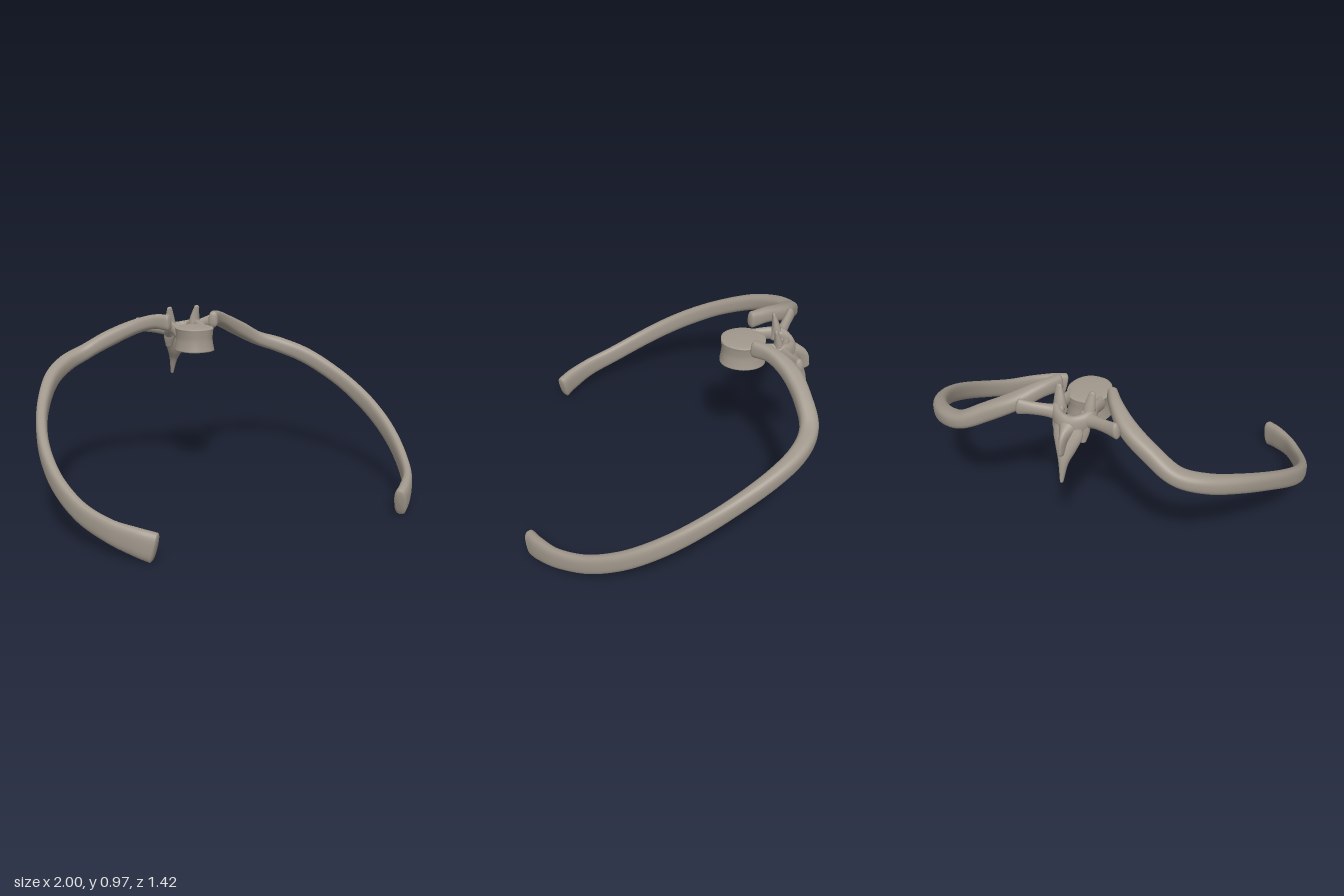
import * as THREE from 'three';

const bone = new THREE.MeshStandardMaterial({ color: 0xa1988c });
bone.name = 'bone';

const spow = (v, e) => Math.sign(v) * Math.pow(Math.abs(v), e);
const oval = a => [Math.cos(a), Math.sin(a)];
const boxy = a => [spow(Math.cos(a), 0.75), spow(Math.sin(a), 0.75)];
// rounded front, squarer and broader back
const heart = a => {
  const v = spow(Math.sin(a), 0.85);
  return [spow(Math.cos(a), 0.8) * (v > 0 ? 1 - 0.12 * v : 1 + 0.08 * v), v];
};

// Sweeps a cross-section through stations [x, y, z, half width, half height];
// the height axis follows the up hint, both ends close with a rounded cap.
function sweep(name, stations, { up = [0, 1, 0], profile = oval, cap = 0.015, steps = 8, sides = 28 } = {}) {
  const path = new THREE.CatmullRomCurve3(stations.map(s => new THREE.Vector3(s[0], s[1], s[2])), false, 'catmullrom');
  const size = new THREE.CatmullRomCurve3(stations.map(s => new THREE.Vector3(s[3], s[4], 0)), false, 'catmullrom');
  const hint = new THREE.Vector3(...up);
  const n = (stations.length - 1) * steps;
  const capRings = [[0, 1], [0.3, 0.96], [0.65, 0.83], [0.9, 0.55], [1, 0]];
  const rings = [];
  for (const [o, s] of [...capRings].reverse()) rings.push([0, -o, s]);
  for (let i = 1; i < n; i++) rings.push([i / n, 0, 1]);
  for (const [o, s] of capRings) rings.push([1, o, s]);

  const pos = [], idx = [];
  for (const [t, offset, scale] of rings) {
    const T = path.getTangent(t);
    const S = new THREE.Vector3().crossVectors(T, hint).normalize();
    const U = new THREE.Vector3().crossVectors(S, T);
    const c = path.getPoint(t).addScaledVector(T, offset * cap);
    const d = size.getPoint(t);
    for (let j = 0; j < sides; j++) {
      const [u, v] = profile((j / sides) * Math.PI * 2);
      const p = c.clone().addScaledVector(S, u * d.x * scale).addScaledVector(U, v * d.y * scale);
      pos.push(p.x, p.y, p.z);
    }
  }
  for (let i = 0; i < rings.length - 1; i++) {
    for (let j = 0; j < sides; j++) {
      const k = (j + 1) % sides;
      const a = i * sides + j, b = i * sides + k, c = a + sides, d = b + sides;
      idx.push(a, c, b, b, c, d);
    }
  }
  const g = new THREE.BufferGeometry();
  g.setAttribute('position', new THREE.Float32BufferAttribute(pos, 3));
  g.setIndex(idx);
  g.computeVertexNormals();
  const mesh = new THREE.Mesh(g, bone);
  mesh.name = name;
  return mesh;
}

const mirror = (stations, s) => stations.map(([x, ...rest]) => [x * s, ...rest]);

export function createModel() {
  const model = new THREE.Group();
  model.name = 'vertebraWithRibs';

  // Vertebral body, slightly waisted
  const vertebra = new THREE.Group();
  vertebra.name = 'vertebra';
  vertebra.add(sweep('vertebralBody', [
    [0, 0.75, -0.365, 0.11, 0.118],
    [0, 0.78, -0.365, 0.104, 0.113],
    [0, 0.815, -0.365, 0.1, 0.11],
    [0, 0.85, -0.365, 0.103, 0.112],
    [0, 0.872, -0.365, 0.107, 0.114],
  ], { up: [0, 0, 1], profile: heart, cap: 0.009, sides: 48 }));

  // Arch around the spinal canal
  const halfArch = [
    [0.078, 0.845, -0.42, 0.024, 0.035],
    [0.08, 0.858, -0.49, 0.022, 0.034],
    [0.083, 0.85, -0.55, 0.028, 0.042],
    [0.045, 0.825, -0.592, 0.027, 0.055],
  ];
  vertebra.add(sweep('neuralArch', [
    ...halfArch,
    [0, 0.815, -0.605, 0.03, 0.058],
    ...mirror(halfArch, -1).reverse(),
  ]));

  // Spine pointing down and back
  vertebra.add(sweep('rearSpine', [
    [0, 0.85, -0.59, 0.06, 0.026],
    [0, 0.78, -0.612, 0.074, 0.034],
    [0, 0.715, -0.64, 0.052, 0.036],
    [0, 0.65, -0.672, 0.024, 0.026],
    [0, 0.565, -0.696, 0.009, 0.013],
  ], { up: [0, 0, 1] }));
  // Ridge at the back of the arch
  vertebra.add(sweep('archRidge', [
    [0, 0.82, -0.6, 0.05, 0.04],
    [0, 0.775, -0.655, 0.02, 0.045],
    [0, 0.715, -0.683, 0.01, 0.03],
  ], { up: [0, 0, 1] }));
  model.add(vertebra);

  for (const [side, s] of [['left', 1], ['right', -1]]) {
    const part = (name, stations, opts) => sweep(side + name, mirror(stations, s), opts);

    // Side wing and the upper and lower joint horns of the vertebra
    vertebra.add(part('TransverseWing', [
      [0.06, 0.84, -0.555, 0.035, 0.045],
      [0.12, 0.85, -0.572, 0.026, 0.034],
      [0.19, 0.862, -0.6, 0.022, 0.034],
      [0.245, 0.87, -0.622, 0.022, 0.042],
    ]));
    vertebra.add(part('UpperJointHorn', [
      [0.072, 0.84, -0.54, 0.034, 0.036],
      [0.077, 0.9, -0.533, 0.028, 0.022],
      [0.084, 0.96, -0.52, 0.016, 0.01],
    ], { up: [0, 0, 1] }));
    vertebra.add(part('LowerJointHorn', [
      [0.06, 0.84, -0.57, 0.035, 0.028],
      [0.062, 0.79, -0.58, 0.032, 0.024],
      [0.06, 0.745, -0.59, 0.022, 0.016],
    ], { up: [0, 0, 1] }));

    // Rib: head, neck, angle, shaft and widened front end
    model.add(part('Rib', [
      [0.138, 0.902, -0.412, 0.026, 0.045],
      [0.195, 0.9, -0.495, 0.033, 0.04],
      [0.29, 0.86, -0.58, 0.044, 0.042],
      [0.42, 0.797, -0.632, 0.042, 0.045],
      [0.55, 0.73, -0.652, 0.045, 0.042],
      [0.68, 0.685, -0.595, 0.042, 0.045],
      [0.8, 0.625, -0.465, 0.036, 0.046],
      [0.9, 0.525, -0.27, 0.03, 0.046],
      [0.954, 0.425, -0.09, 0.028, 0.049],
      [0.97, 0.335, 0.07, 0.028, 0.05],
      [0.955, 0.253, 0.22, 0.027, 0.051],
      [0.905, 0.178, 0.38, 0.026, 0.053],
      [0.825, 0.131, 0.53, 0.026, 0.058],
      [0.735, 0.1, 0.63, 0.031, 0.068],
      [0.672, 0.08, 0.682, 0.032, 0.073],
    ], { profile: boxy, cap: 0.014 }));
  }
  return model;
}
